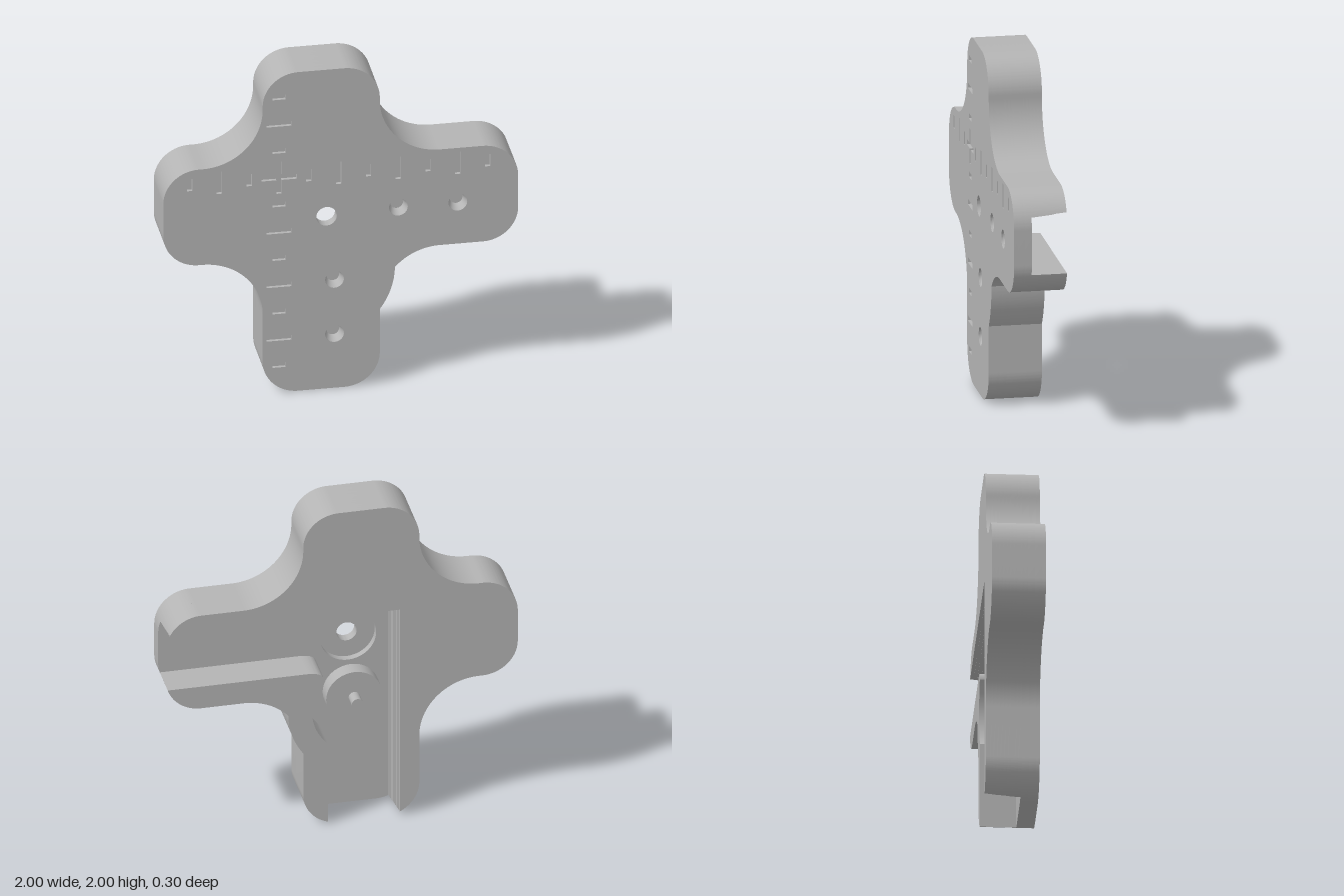
import * as THREE from 'three';
import { toCreasedNormals } from 'three/addons/utils/BufferGeometryUtils.js';

const PI = Math.PI;

// Lower-right run of the outline: bump beside the cam, then the concave fillet
function bumpAndFillet(s) {
  s.absarc(-0.135, 0.73, 0.44, -0.632, 0, false);
  s.absarc(0.56, 0.5, 0.34, 2.419, PI / 2, true);
}

// Top and left arms, starting from a given angle on the right arm's upper corner
function upperLeftRun(s, startAngle) {
  s.absarc(0.8, 1.24, 0.2, startAngle, PI / 2, false);
  s.absarc(0.56, 1.78, 0.34, -PI / 2, -PI, true);
  s.absarc(0.02, 1.8, 0.2, 0, PI / 2, false);
  s.absarc(-0.24, 1.8, 0.2, PI / 2, PI, false);
  s.absarc(-0.78, 1.78, 0.34, 0, -PI / 2, true);
  s.absarc(-0.8, 1.24, 0.2, PI / 2, PI, false);
  s.absarc(-0.8, 1.04, 0.2, PI, 1.5 * PI, false);
  s.absarc(-0.78, 0.5, 0.34, PI / 2, 0, true);
}

// Complete cross outline
function crossShape() {
  const s = new THREE.Shape();
  upperLeftRun(s, 0);
  s.absarc(-0.24, 0.2, 0.2, PI, 1.5 * PI, false);
  s.absarc(0.02, 0.2, 0.2, 1.5 * PI, 2 * PI, false);
  bumpAndFillet(s);
  s.absarc(0.8, 1.04, 0.2, -PI / 2, 0, false);
  s.closePath();
  return s;
}

// Body outside the L-shaped channel, whose outer corner is at (x, y)
function outerShape(x, y) {
  const s = new THREE.Shape();
  upperLeftRun(s, Math.asin((y - 1.24) / 0.2));
  s.absarc(-0.24, 0.2, 0.2, PI, 2 * PI - Math.acos((x + 0.24) / 0.2), false);
  s.lineTo(x, y);
  s.closePath();
  return s;
}

// Wall on the inner side of the channel, hollowed around the cam
function innerShape() {
  const s = new THREE.Shape();
  s.absarc(0.02, 0.2, 0.2, -Math.acos(0.3), 0, false);
  bumpAndFillet(s);
  s.absarc(0.8, 1.04, 0.2, -PI / 2, Math.asin(-0.3), false);
  s.lineTo(0.2, 0.98);
  s.quadraticCurveTo(0.1, 0.98, 0.1, 0.92);
  s.absarc(-0.13, 0.73, 0.3, 0.69, -Math.acos(0.7), true);
  s.closePath();
  return s;
}

function circleHole(x, y, r) {
  const p = new THREE.Path();
  p.absarc(x, y, r, 0, 2 * PI, true);
  return p;
}

function polyHole(points) {
  return new THREE.Path(points.map(([x, y]) => new THREE.Vector2(x, y)));
}

function rectHole(x, y, w, h) {
  const a = w / 2, b = h / 2;
  return polyHole([[x - a, y - b], [x - a, y + b], [x + a, y + b], [x + a, y - b]]);
}

export function createModel() {
  const group = new THREE.Group();
  const grey = new THREE.MeshStandardMaterial({ color: 0xb4b4b4 });
  grey.name = 'grey plastic';
  const greyInside = grey.clone();
  greyInside.side = THREE.DoubleSide;

  const add = (name, geometry, material = grey) => {
    const mesh = new THREE.Mesh(geometry, material);
    mesh.name = name;
    group.add(mesh);
    return mesh;
  };
  const slab = (name, shape, z0, z1) => {
    const geo = new THREE.ExtrudeGeometry(shape, { depth: z1 - z0, bevelEnabled: false, curveSegments: 20 });
    geo.translate(0, 0, z0);
    return add(name, toCreasedNormals(geo, 0.5));
  };
  const rod = (name, x, y, r, z0, z1) => {
    const geo = new THREE.CylinderGeometry(r, r, z1 - z0, 40);
    geo.rotateX(PI / 2);
    add(name, geo).position.set(x, y, (z0 + z1) / 2);
  };

  const screws = [[-0.035, 0.68], [-0.035, 0.34], [0.325, 1.1], [0.66, 1.1]];
  const screwHoles = () => screws.map(([x, y]) => circleHole(x, y, 0.053));
  const cx = -0.348, cy = 1.347, step = 0.168;

  // Engraved scale: a cross at the origin with short and long ticks
  const face = crossShape();
  face.holes.push(circleHole(-0.08, 1.08, 0.058), ...screwHoles());
  for (let i = -3; i <= 7; i++) {
    if (i === 0) continue;
    const length = i % 2 ? 0.075 : 0.14;
    face.holes.push(rectHole(cx + i * step, cy, 0.03, length));
    face.holes.push(rectHole(cx, cy - i * step, length, 0.03));
  }
  const a = 0.015, b = 0.1;
  face.holes.push(polyHole([
    [-a, -b], [-a, -a], [-b, -a], [-b, a], [-a, a], [-a, b],
    [a, b], [a, a], [b, a], [b, -a], [a, -a], [a, -b],
  ].map(([x, y]) => [cx + x, cy + y])));
  slab('engravedFace', face, 0.13, 0.15);

  // Middle of the front plate
  const middle = crossShape();
  middle.holes.push(circleHole(-0.08, 1.08, 0.058), ...screwHoles());
  slab('plateMiddle', middle, 0.09, 0.13);

  // Channel floor with a counterbore behind the sight hole
  const floor = crossShape();
  floor.holes.push(circleHole(-0.08, 1.08, 0.16));
  slab('channelFloor', floor, 0.05, 0.09);

  // Tapered walls of the blind holes
  for (const [x, y] of screws) {
    const geo = new THREE.CylinderGeometry(0.053, 0.036, 0.05, 32, 1, true);
    geo.rotateX(PI / 2);
    add('taperedHole', geo, greyInside).position.set(x, y, 0.115);
  }

  // Finely stepped outer body, the channel widening toward the back
  const layers = 10;
  for (let i = 0; i < layers; i++) {
    const d = 0.02 * (i + 0.5) / layers, z = 0.05 - i * 0.02;
    slab('steppedBody', outerShape(-0.31 - d, 1.31 + d), z - 0.02, z);
  }

  slab('innerWall', innerShape(), -0.15, 0.05);

  // Cam disc and its pin
  rod('camDisc', -0.095, 0.73, 0.16, -0.04, 0.06);
  rod('camPin', -0.095, 0.73, 0.032, -0.12, -0.03);

  return group;
}
